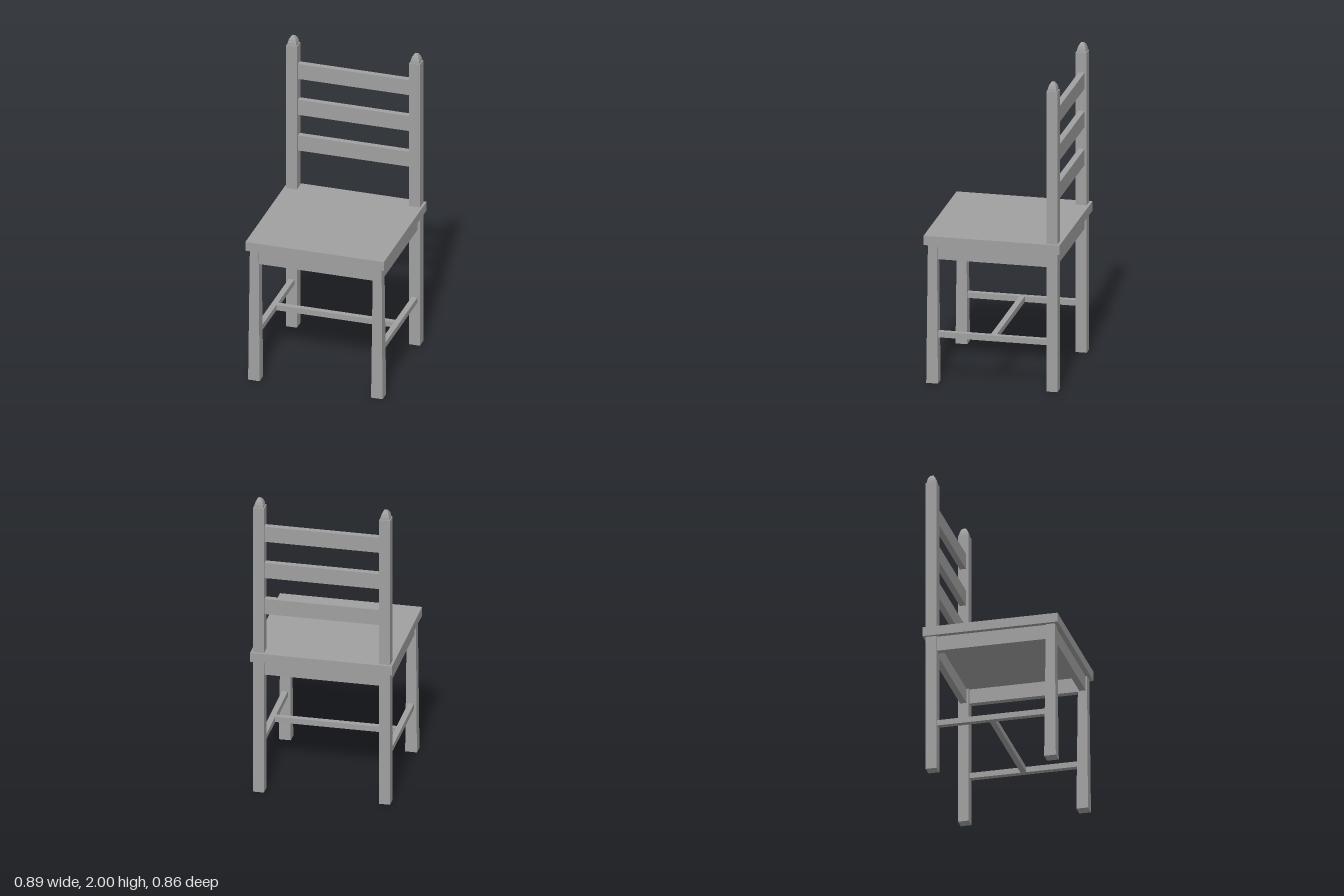
import * as THREE from 'three';

export function createModel() {
  const chair = new THREE.Group();
  chair.name = 'chair';
  const grey = new THREE.MeshStandardMaterial({ color: 0xa0a0a0 });
  grey.name = 'grey';

  const add = (name, geometry, x, y, z) => {
    const mesh = new THREE.Mesh(geometry, grey);
    mesh.name = name;
    mesh.position.set(x, y, z);
    chair.add(mesh);
    return mesh;
  };
  const box = (name, w, h, d, x, y, z) => add(name, new THREE.BoxGeometry(w, h, d), x, y, z);

  // Four-sided solid of revolution: half-widths and heights, with flat faces
  const squareTurned = (profile) => {
    const points = profile.map(([half, y]) => new THREE.Vector2(half * Math.SQRT2, y));
    const geometry = new THREE.LatheGeometry(points, 4, Math.PI / 4).toNonIndexed();
    geometry.computeVertexNormals();
    return geometry;
  };

  const legX = 0.397, backZ = -0.377, frontZ = 0.378;
  const apronY = 0.848, apronH = 0.096, stretcherY = 0.312;

  // Seat
  box('seat', 0.894, 0.06, 0.858, 0, 0.925, 0);

  for (const side of [1, -1]) {
    const label = side > 0 ? 'left' : 'right';
    const x = side * legX;

    // Back post with a rounded square finial
    box(`${label}BackPost`, 0.069, 1.94, 0.069, x, 0.97, backZ);
    const finial = [[0.029, 1.94], [0.027, 1.958], [0.021, 1.978], [0.011, 1.994], [0, 2]];
    add(`${label}Finial`, squareTurned(finial), x, 0, backZ);

    // Front leg, narrowing towards the seat
    const leg = [[0, 0], [0.037, 0], [0.0285, 0.897], [0, 0.897]];
    add(`${label}FrontLeg`, squareTurned(leg), x, 0, frontZ);

    // Side apron and side stretcher
    box(`${label}Apron`, 0.04, apronH, 0.71, x, apronY, 0);
    box(`${label}Stretcher`, 0.036, 0.036, 0.71, x, stretcherY, 0);
  }

  // Front and back aprons, and the cross stretcher
  box('frontApron', 0.75, apronH, 0.04, 0, apronY, frontZ);
  box('backApron', 0.75, apronH, 0.04, 0, apronY, backZ);
  box('crossStretcher', 0.78, 0.036, 0.036, 0, stretcherY, 0);

  // Back slats
  for (const y of [1.267, 1.513, 1.761]) box('backSlat', 0.74, 0.103, 0.038, 0, y, -0.38);

  return chair;
}
